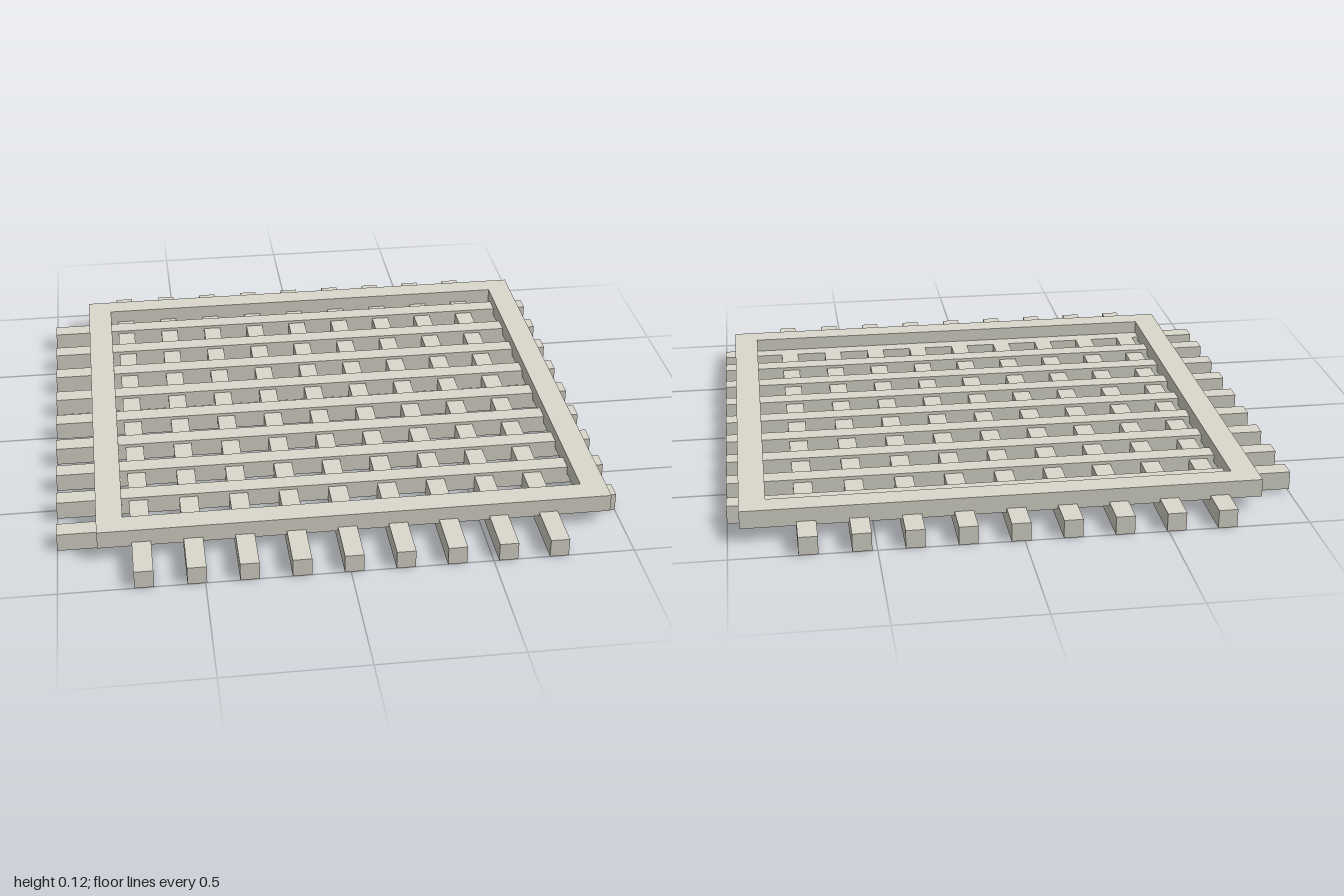
import * as THREE from 'three';

const material = new THREE.MeshStandardMaterial({ color: 0xdbd9cc });
const BAR = 0.067; // square section of every bar
const COUNT = 9;
const STEP = 0.18;

function addBar(group, name, size, position) {
  const bar = new THREE.Mesh(new THREE.BoxGeometry(...size), material);
  bar.name = name;
  bar.position.set(...position);
  group.add(bar);
}

// Flat rectangular path given by its limits
function rectangle(path, x0, x1, y0, y1) {
  path.moveTo(x0, y0);
  path.lineTo(x1, y0);
  path.lineTo(x1, y1);
  path.lineTo(x0, y1);
  path.closePath();
  return path;
}

export function createModel() {
  const model = new THREE.Group();
  model.name = 'latticePanel';

  // Lower bars run front to back, upper bars run side to side
  const lower = new THREE.Group();
  lower.name = 'lowerBars';
  const upper = new THREE.Group();
  upper.name = 'upperBars';
  for (let i = 0; i < COUNT; i++) {
    addBar(lower, 'lowerBar', [BAR, BAR, 2], [-0.708 + i * STEP, BAR / 2, 0]);
    // The frontmost cross bar lies level with the lower bars
    const lift = i === COUNT - 1 ? 0 : 0.012;
    addBar(upper, 'upperBar', [2, BAR, BAR], [0, BAR / 2 + lift, -0.724 + i * STEP]);
  }
  model.add(lower, upper);

  // Rectangular frame resting over the lattice, slightly off centre
  const outline = rectangle(new THREE.Shape(), -0.86, 0.957, -0.826, 0.882);
  outline.holes.push(rectangle(new THREE.Path(), -0.768, 0.866, -0.74, 0.797));
  const frameGeometry = new THREE.ExtrudeGeometry(outline, { depth: 0.065, bevelEnabled: false });
  frameGeometry.rotateX(-Math.PI / 2);
  const frame = new THREE.Mesh(frameGeometry, material);
  frame.name = 'frame';
  frame.position.y = 0.052;
  model.add(frame);

  return model;
}
